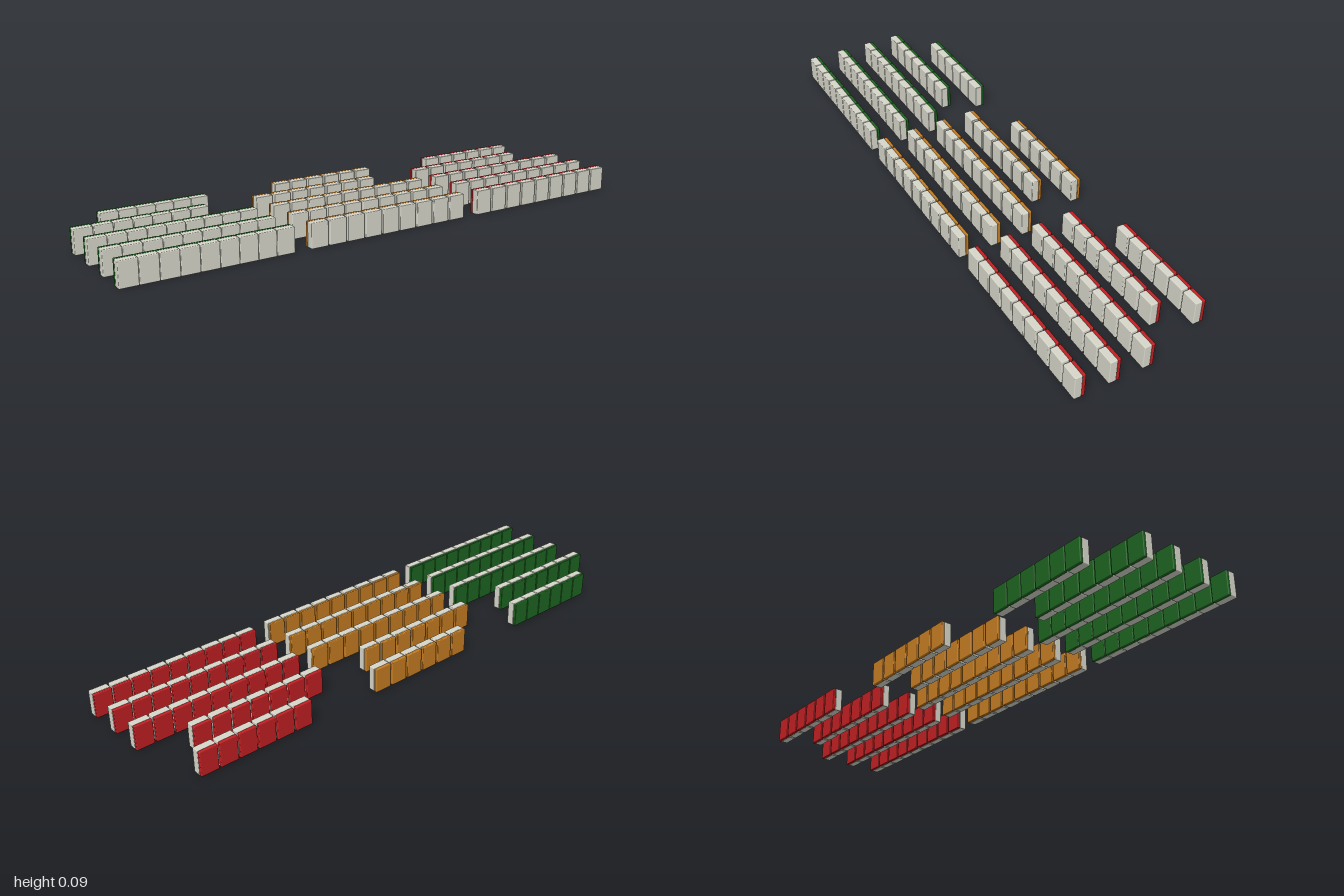
import * as THREE from 'three';
import { RoundedBoxGeometry } from 'three/addons/geometries/RoundedBoxGeometry.js';

const mat = (name, color) => {
  const m = new THREE.MeshStandardMaterial({ color });
  m.name = name;
  return m;
};

// Tile size: pale face in front, coloured backing behind
const W = 0.065, H = 0.0885, D = 0.0385, BACK = 0.0115, FACE = D - BACK;
const ROW_GAP = 0.1217;

export function createModel() {
  const model = new THREE.Group();
  model.name = 'tileSets';

  const ivory = mat('ivory', 0xd6d6ca);
  const faceGeo = new RoundedBoxGeometry(W, H, FACE, 2, 0.003);
  const backGeo = new RoundedBoxGeometry(W, H, BACK, 2, 0.003);

  // Each set: left edge, tile spacing, spacing of the seven-tile row, start of the short rear row
  const sets = [
    { name: 'green', color: 0x1d6420, x: -1, step: 0.0667, wide: 0.0683, rear: -0.865 },
    { name: 'orange', color: 0xc47c22, x: -0.34, step: 0.0714, wide: 0.073, rear: -0.196 },
    { name: 'red', color: 0xc01f22, x: 0.357, step: 0.0714, wide: 0.073, rear: 0.5 },
  ];

  for (const s of sets) {
    const set = new THREE.Group();
    set.name = s.name + 'Set';
    const backing = mat(s.name, s.color);

    // Rows from front to rear
    const rows = [
      { count: 9, x: s.x, step: s.step },
      { count: 9, x: s.x, step: s.step },
      { count: 9, x: s.x, step: s.step },
      { count: 7, x: s.x, step: s.wide },
      { count: 6, x: s.rear, step: s.step },
    ];
    rows.forEach((r, i) => {
      const row = new THREE.Group();
      row.name = 'tileRow' + (i + 1);
      row.position.set(r.x + W / 2, H / 2, (2 - i) * ROW_GAP);
      for (let k = 0; k < r.count; k++) {
        const tile = new THREE.Group();
        tile.name = 'tile';
        tile.position.x = k * r.step;
        const face = new THREE.Mesh(faceGeo, ivory);
        face.name = 'tileFace';
        face.position.z = (D - FACE) / 2;
        const back = new THREE.Mesh(backGeo, backing);
        back.name = 'tileBack';
        back.position.z = -(D - BACK) / 2;
        tile.add(face, back);
        row.add(tile);
      }
      set.add(row);
    });
    model.add(set);
  }
  return model;
}
